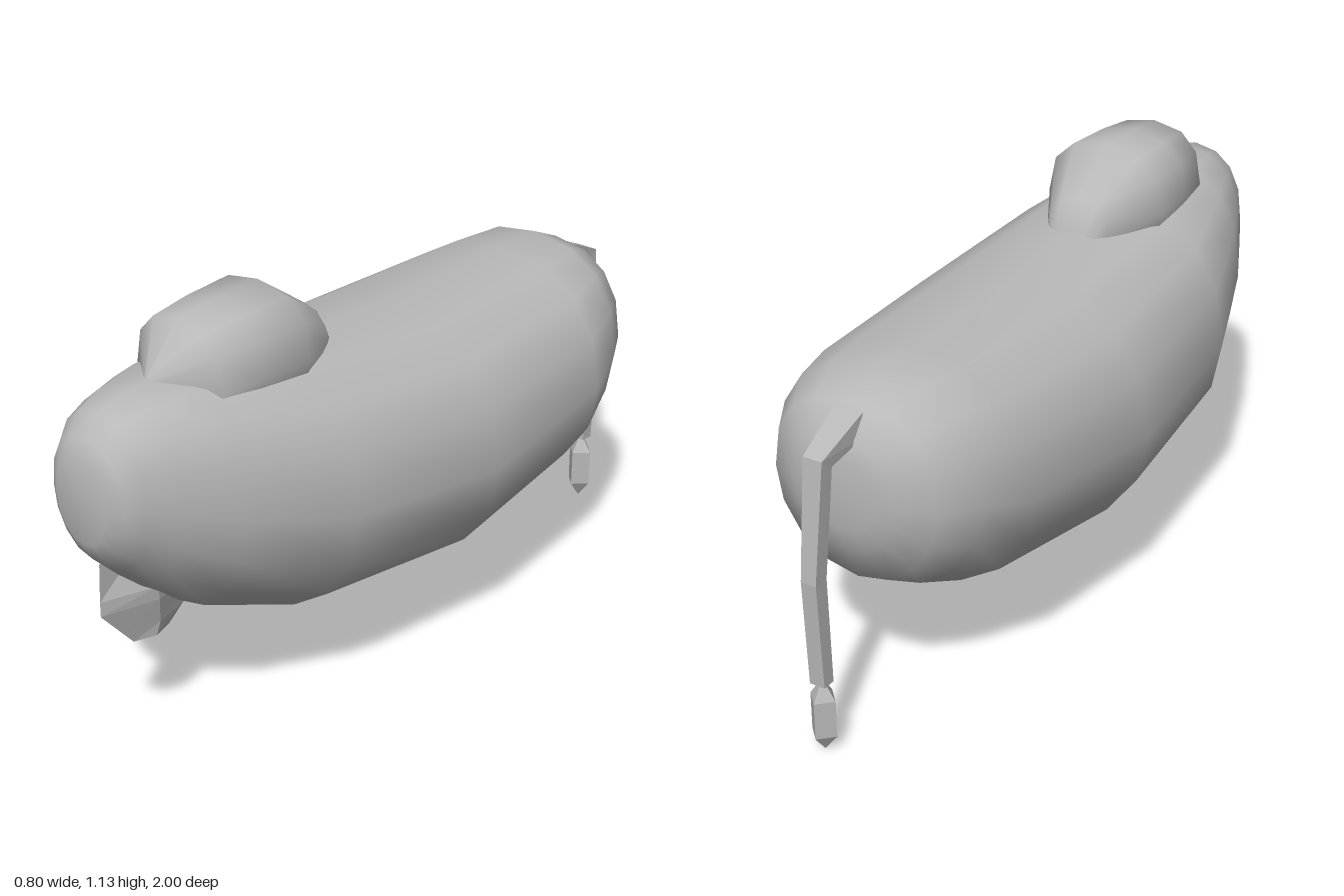
import * as THREE from 'three';

// Skin a run of equal-sized rings, closing both ends with a fan
function loft(rings, flat = false) {
  const n = rings[0].length;
  const pos = [];
  const idx = [];
  rings.forEach((ring) => ring.forEach((p) => pos.push(...p)));
  for (let j = 0; j < rings.length - 1; j++) {
    for (let i = 0; i < n; i++) {
      const a = j * n + i;
      const a2 = j * n + ((i + 1) % n);
      idx.push(a, a + n, a2, a2, a + n, a2 + n);
    }
  }
  [0, rings.length - 1].forEach((j) => {
    const ring = rings[j];
    const centre = pos.length / 3;
    pos.push(...[0, 1, 2].map((k) => ring.reduce((s, p) => s + p[k], 0) / n));
    for (let i = 0; i < n; i++) {
      const a = j * n + i;
      const b = j * n + ((i + 1) % n);
      if (j === 0) idx.push(centre, a, b);
      else idx.push(centre, b, a);
    }
  });
  let geometry = new THREE.BufferGeometry();
  geometry.setAttribute('position', new THREE.Float32BufferAttribute(pos, 3));
  geometry.setIndex(idx);
  if (flat) geometry = geometry.toNonIndexed();
  geometry.computeVertexNormals();
  return geometry;
}

// Upright oval ring at depth z, slightly boxy above its widest line
function oval(z, top, bottom, halfWidth, sides, boxy) {
  const mid = bottom + (top - bottom) * 0.5;
  return Array.from({ length: sides }, (_, i) => {
    const t = (i / sides) * Math.PI * 2;
    const c = Math.cos(t);
    const s = Math.sin(t);
    const p = s > 0.001 ? boxy : 1;
    return [
      Math.sign(c) * Math.abs(c) ** p * halfWidth,
      mid + Math.sign(s) * Math.abs(s) ** p * (top - bottom) * 0.5,
      z,
    ];
  });
}

export function createModel() {
  const model = new THREE.Group();
  const grey = new THREE.MeshStandardMaterial({ color: 0xb8b8b8 });
  grey.name = 'grey';

  const add = (name, geometry) => {
    const mesh = new THREE.Mesh(geometry, grey);
    mesh.name = name;
    model.add(mesh);
    return mesh;
  };

  // Body: z, top, bottom, half width
  const body = [
    [1.0, 0.86, 0.64, 0.085],
    [0.975, 0.91, 0.59, 0.125],
    [0.93, 0.96, 0.545, 0.155],
    [0.85, 0.985, 0.465, 0.195],
    [0.71, 0.998, 0.36, 0.262],
    [0.43, 0.965, 0.25, 0.358],
    [-0.07, 0.93, 0.212, 0.402],
    [-0.55, 0.94, 0.285, 0.352],
    [-0.7, 0.943, 0.355, 0.295],
    [-0.8, 0.9, 0.415, 0.235],
    [-0.845, 0.83, 0.52, 0.15],
    [-0.86, 0.77, 0.58, 0.09],
  ];
  add('body', loft(body.map(([z, t, b, w]) => oval(z, t, b, w, 16, 0.86))));

  // Hump on the back, sunk into the body
  const hump = [
    [0.77, 1.0, 0.9, 0.02],
    [0.67, 1.115, 0.8, 0.15],
    [0.55, 1.128, 0.8, 0.167],
    [0.4, 1.135, 0.8, 0.178],
    [0.25, 1.03, 0.82, 0.095],
    [0.21, 0.95, 0.85, 0.07],
  ];
  add('hump', loft(hump.map(([z, t, b, w]) => oval(z, t, b, w, 12, 0.8))));

  // Chin fin: y, front z, back z, half width
  const fin = [
    [0.565, 0.955, 0.72, 0.004],
    [0.46, 0.96, 0.66, 0.045],
    [0.42, 0.96, 0.65, 0.042],
    [0.345, 0.895, 0.69, 0.027],
    [0.305, 0.86, 0.74, 0.02],
  ];
  add('chinFin', loft(fin.map(([y, f, b, w]) => {
    const m = (f + b) / 2;
    return [[0, y, f], [w, y, m], [0, y, b], [-w, y, m]];
  }), true));

  // Tail: inner y and z, outer y and z, half width
  const tail = [
    [0.82, -0.81, 0.885, -0.81, 0.04],
    [0.79, -0.92, 0.82, -0.958, 0.027],
    [0.5, -0.955, 0.5, -0.998, 0.022],
    [0.2, -0.948, 0.2, -0.985, 0.022],
  ];
  add('tail', loft(tail.map(([iy, iz, oy, oz, w]) => [
    [w, iy, iz], [w, oy, oz], [-w, oy, oz], [-w, iy, iz],
  ]), true));

  // Four-sided tuft at the tail tip
  const tuftProfile = [[0, 0], [0.038, 0.05], [0.038, 0.155], [0.008, 0.2], [0, 0.2]];
  const tuft = new THREE.LatheGeometry(tuftProfile.map(([x, y]) => new THREE.Vector2(x, y)), 4).toNonIndexed();
  tuft.computeVertexNormals();
  add('tailTuft', tuft).position.z = -0.965;

  return model;
}
